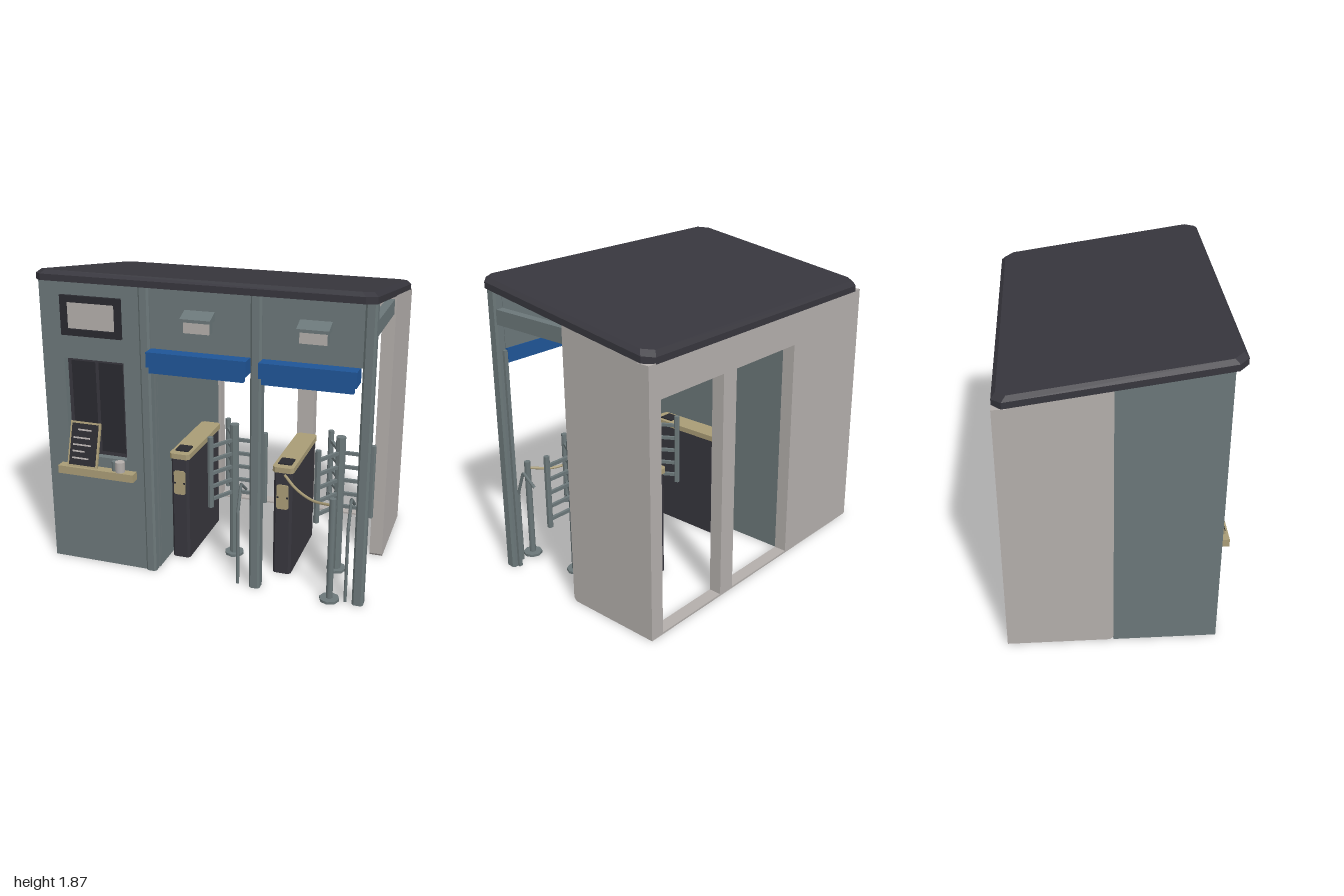
import * as THREE from 'three';
import { ConvexGeometry } from 'three/addons/geometries/ConvexGeometry.js';

const mat = (name, color) => {
  const m = new THREE.MeshStandardMaterial({ color });
  m.name = name;
  return m;
};

export function createModel() {
  const root = new THREE.Group();
  root.name = 'ticketGate';
  const steel = mat('greyGreenPaint', 0x6b7779);
  const stone = mat('paleStone', 0xb3aeab);
  const dark = mat('charcoal', 0x37363d);
  const black = mat('darkTrim', 0x2a2a30);
  const blue = mat('blueSign', 0x1f5597);
  const tan = mat('tanTrim', 0xa99c76);

  const add = (name, geo, m, parent = root) => {
    const mesh = new THREE.Mesh(geo, m);
    mesh.name = name;
    parent.add(mesh);
    return mesh;
  };
  // Box given by its min and max on each axis
  const box = (name, m, x0, x1, y0, y1, z0, z1, parent) =>
    add(name, new THREE.BoxGeometry(x1 - x0, y1 - y0, z1 - z0)
      .translate((x0 + x1) / 2, (y0 + y1) / 2, (z0 + z1) / 2), m, parent);
  const poly = (pts) => new THREE.Shape(pts.map(([a, b]) => new THREE.Vector2(a, b)));
  const extrude = (shape, depth) => new THREE.ExtrudeGeometry(shape, { depth, bevelEnabled: false });
  // Rectangle with cut corners
  const cutRect = (w, h, c) => [
    [-w / 2 + c, -h / 2], [w / 2 - c, -h / 2], [w / 2, -h / 2 + c], [w / 2, h / 2 - c],
    [w / 2 - c, h / 2], [-w / 2 + c, h / 2], [-w / 2, h / 2 - c], [-w / 2, -h / 2 + c]];
  // Upright prism with cut vertical edges
  const prism = (name, m, x, y, z, w, h, d, c, parent) =>
    add(name, extrude(poly(cutRect(w, d, c)), h).rotateX(-Math.PI / 2).translate(x, y, z), m, parent);
  // (z, y) outline extruded across x
  const side = (name, m, pts, x0, x1) =>
    add(name, extrude(poly(pts), x1 - x0).rotateY(-Math.PI / 2).translate(x1, 0, 0), m);
  const rectHole = (shape, x0, x1, y0, y1) =>
    shape.holes.push(new THREE.Path([[x0, y0], [x0, y1], [x1, y1], [x1, y0]].map((p) => new THREE.Vector2(...p))));
  const under = (z) => 1.718 + 0.147 * z; // underside of the sloping roof

  // Roof: cut corners, bevelled upper rim, sloping to the back
  const ring = (inset, y) => cutRect(2 - inset * 2, 1.32 - inset * 2, 0.055)
    .map(([x, z]) => new THREE.Vector3(x, y + 0.148 * z, z));
  add('roof', new ConvexGeometry([...ring(0, 1.714), ...ring(0, 1.752), ...ring(0.025, 1.777)]), dark);

  // Back wall with two doorways and low sills
  const back = poly([[-1, 0], [1, 0], [1, 1.622], [-1, 1.622]]);
  rectHole(back, -0.28, 0.28, 0.012, 1.42);
  rectHole(back, 0.395, 0.91, 0.012, 1.42);
  add('backWall', extrude(back, 0.08).translate(0, 0, -0.66), stone);
  for (const x of [-1, 0.92]) {
    side('rearSideWall', stone, [[-0.58, 0], [-0.05, 0], [-0.03, 0.02], [-0.03, under(-0.03)], [-0.58, under(-0.58)]], x, x + 0.08);
  }

  // Booth body and its front wall with a window recess
  side('boothRear', steel, [[-0.58, 0], [-0.03, 0], [-0.03, under(-0.03)], [-0.58, under(-0.58)]], -0.92, -0.3);
  side('boothBody', steel, [[-0.03, 0], [0.5, 0], [0.5, under(0.5)], [-0.03, under(-0.03)]], -1, -0.3);
  const front = poly([[-1, 0], [-0.31, 0], [-0.31, 1.8], [-1, 1.8]]);
  rectHole(front, -0.86, -0.475, 0.72, 1.335);
  add('boothFront', extrude(front, 0.085).translate(0, 0, 0.5), steel);

  // Booth window
  box('windowFrame', dark, -0.86, -0.475, 0.72, 1.335, 0.5, 0.54);
  for (const x of [-0.835, -0.657]) box('windowPane', black, x, x + 0.155, 0.745, 1.31, 0.54, 0.544);

  // Display screen
  const frame = poly([[-0.86, 1.48], [-0.475, 1.48], [-0.475, 1.72], [-0.86, 1.72]]);
  rectHole(frame, -0.82, -0.515, 1.52, 1.68);
  add('screenFrame', extrude(frame, 0.022).translate(0, 0, 0.583), black);
  box('screen', stone, -0.82, -0.515, 1.52, 1.68, 0.583, 0.59);

  // Counter with cups
  box('counter', tan, -0.915, -0.415, 0.605, 0.655, 0.58, 0.645);
  add('cup', new THREE.CylinderGeometry(0.03, 0.03, 0.065, 10).translate(-0.51, 0.687, 0.615), stone);
  add('smallCup', new THREE.CylinderGeometry(0.018, 0.018, 0.06, 8).translate(-0.55, 0.685, 0.606), steel);

  // Leaning notice board with plain stripes
  const board = new THREE.Group();
  board.name = 'noticeBoard';
  board.position.set(-0.76, 0.655, 0.63);
  board.rotation.x = -0.3;
  root.add(board);
  box('boardFrame', tan, -0.1, 0.1, 0, 0.28, -0.015, 0, board);
  box('boardFace', black, -0.088, 0.088, 0.012, 0.268, 0, 0.004, board);
  [[-0.045, 0.09, 0.225], [-0.07, 0.11, 0.175], [-0.07, 0.12, 0.132], [-0.07, 0.08, 0.092], [-0.07, 0.11, 0.05]]
    .forEach(([x, w, y]) => box('boardStripe', stone, x, x + w, y, y + 0.01, 0.004, 0.007, board));

  // Front posts, side beam and fascia
  for (const x of [-0.335, 0.335, 0.966]) prism('frontPost', steel, x, 0, 0.563, 0.066, 1.802, 0.07, 0.012);
  box('sideBeam', steel, 0.94, 0.99, 1.6, 1.69, -0.04, 0.54);
  side('fascia', steel, [[0.545, 1.44], [0.575, 1.44], [0.575, under(0.575)], [0.545, under(0.545)]], -0.31, 0.95);
  for (const x of [-0.31, 0.32, 0.35, 0.955]) box('guideRail', steel, x - 0.012, x + 0.012, 0, 1.44, 0.51, 0.53);

  // Per lane: blue shutter housing, lamp, cabinet, turnstile, handrail
  const lanes = [
    { x0: -0.3, x1: 0.298, lamp: 0, cab: -0.222, spin: 0.085, rail: 0.225 },
    { x0: 0.37, x1: 0.918, lamp: 0.668, cab: 0.443, spin: 0.755, rail: 0.89 },
  ];
  for (const l of lanes) {
    box('shutterHousing', blue, l.x0, l.x1, 1.35, 1.44, 0.54, 0.66);
    box('shutterLip', blue, l.x0 + 0.015, l.x1 - 0.015, 1.315, 1.352, 0.62, 0.655);

    // Lamp with sloping hood
    box('lampBody', steel, l.lamp - 0.077, l.lamp + 0.077, 1.565, 1.645, 0.57, 0.63);
    box('lampFace', stone, l.lamp - 0.077, l.lamp + 0.077, 1.565, 1.632, 0.63, 0.636);
    side('lampHood', steel, [[0.57, 1.632], [0.657, 1.632], [0.657, 1.65], [0.57, 1.685]], l.lamp - 0.09, l.lamp + 0.09);

    // Gate cabinet
    const cab = new THREE.Group();
    cab.name = 'gateCabinet';
    cab.position.set(l.cab, 0, 0.08);
    root.add(cab);
    prism('cabinetBody', dark, 0, 0, 0, 0.115, 0.685, 0.58, 0.015, cab);
    prism('cabinetCap', tan, 0, 0.68, 0, 0.132, 0.034, 0.6, 0.018, cab);
    box('cardReader', black, -0.042, 0.042, 0.714, 0.722, 0.16, 0.25, cab);
    add('frontPanel', extrude(poly(cutRect(0.075, 0.16, 0.01)), 0.007).translate(0, 0.52, 0.289), tan, cab);
    for (const x of [-0.03, 0.03]) box('panelNotch', black, x - 0.006, x + 0.006, 0.513, 0.523, 0.296, 0.299, cab);

    // Three-armed turnstile
    const spin = new THREE.Group();
    spin.name = 'turnstile';
    spin.position.set(l.spin, 0, 0.21);
    root.add(spin);
    add('turnstileFoot', new THREE.CylinderGeometry(0.062, 0.062, 0.016, 8).translate(0, 0.008, 0), steel, spin);
    add('turnstilePost', new THREE.CylinderGeometry(0.03, 0.03, 0.89, 8, 1).toNonIndexed().translate(0, 0.445, 0), steel, spin).geometry.computeVertexNormals();
    for (let i = 0; i < 3; i++) {
      const arm = new THREE.Group();
      arm.name = 'turnstileArm';
      arm.rotation.y = i * Math.PI * 2 / 3;
      spin.add(arm);
      prism('armEnd', steel, 0.196, 0.39, 0, 0.032, 0.465, 0.032, 0.007, arm);
      for (const y of [0.44, 0.525, 0.613, 0.7, 0.79]) box('armBar', steel, 0, 0.19, y - 0.01, y + 0.01, -0.009, 0.009, arm);
    }

    // Bent handrail
    const bends = [[0, 0.57], [0.47, 0.57], [0.635, 0.51], [0.56, 0.41]];
    const path = new THREE.CurvePath();
    for (let i = 0; i < 3; i++) {
      path.add(new THREE.LineCurve3(...[bends[i], bends[i + 1]].map(([y, z]) => new THREE.Vector3(l.rail, y, z))));
    }
    add('handrail', new THREE.TubeGeometry(path, 40, 0.01, 6), steel);
  }

  // Rope stanchion
  add('stanchionFoot', new THREE.CylinderGeometry(0.06, 0.06, 0.016, 8).translate(0.797, 0.008, 0.58), steel);
  add('stanchionPost', new THREE.CylinderGeometry(0.02, 0.02, 0.655, 8).translate(0.797, 0.328, 0.58), steel);
  const rope = new THREE.CatmullRomCurve3([[0.455, 0.665, 0.37], [0.54, 0.615, 0.43], [0.66, 0.587, 0.5], [0.79, 0.61, 0.575]]
    .map((p) => new THREE.Vector3(...p)));
  add('rope', new THREE.TubeGeometry(rope, 20, 0.009, 6), tan);

  return root;
}
